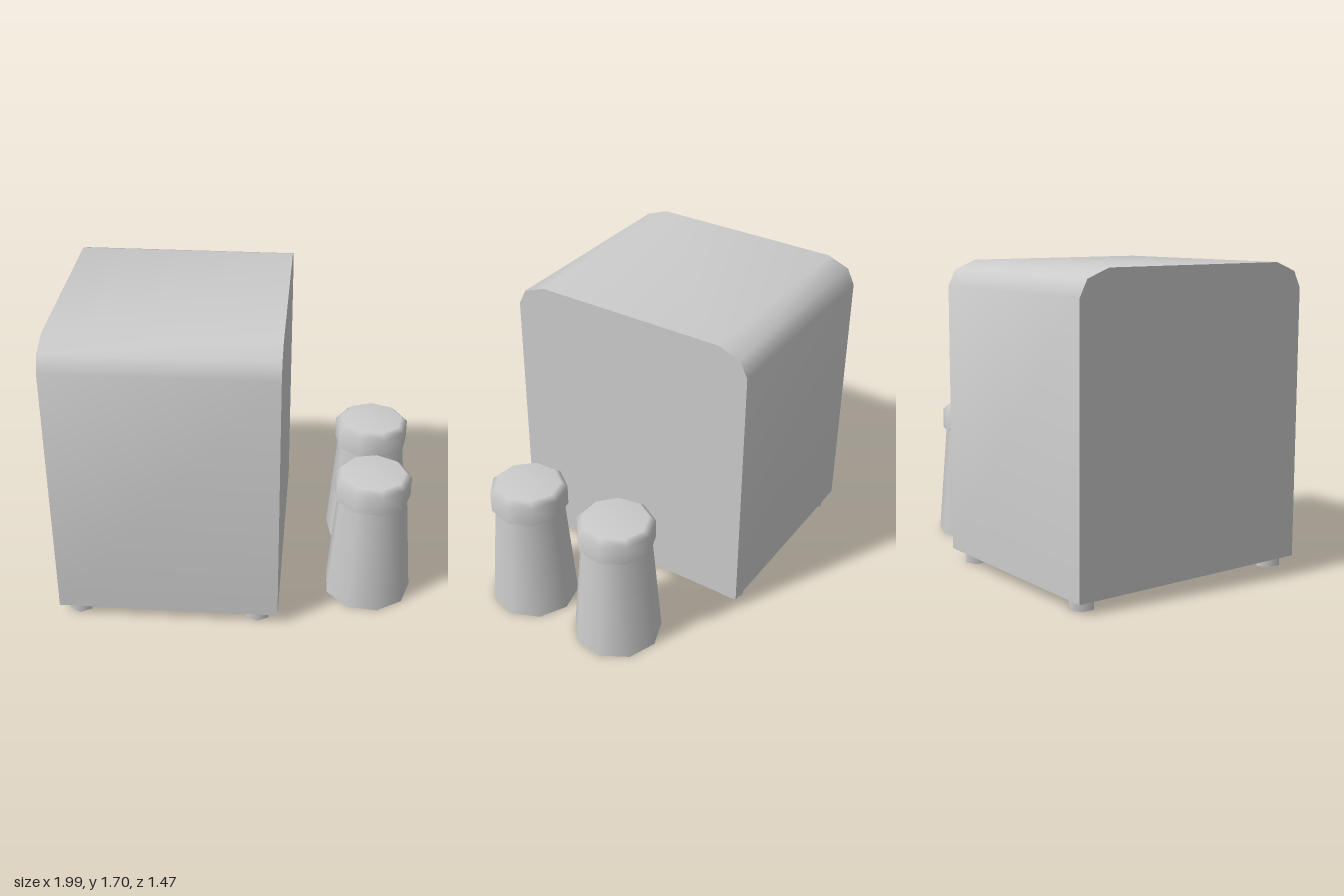
import * as THREE from 'three';
import { toCreasedNormals } from 'three/addons/utils/BufferGeometryUtils.js';

const material = new THREE.MeshStandardMaterial({ color: 0xcccccc });
const openMaterial = new THREE.MeshStandardMaterial({ color: 0xcccccc, side: THREE.DoubleSide });

function part(name, geometry, parent, mat = material) {
  const mesh = new THREE.Mesh(geometry, mat);
  mesh.name = name;
  parent.add(mesh);
  return mesh;
}

// Nine-sided turned surface from [radius, height] pairs, listed bottom up
function turned(points) {
  return new THREE.LatheGeometry(points.map(([r, y]) => new THREE.Vector2(r, y)), 9);
}

function createShaker(name, x, z, turn) {
  const shaker = new THREE.Group();
  shaker.name = name;
  part('shakerBase', turned([[0, 0], [0.25, 0]]), shaker);
  part('shakerBody', turned([[0.25, 0], [0.197, 0.64]]), shaker);
  part('lidLedge', turned([[0.19, 0.64], [0.217, 0.64]]), shaker);
  part('lid', turned([[0.217, 0.64], [0.217, 0.755], [0.182, 0.785], [0, 0.785]]), shaker);
  shaker.position.set(x, 0, z);
  shaker.rotation.y = THREE.MathUtils.degToRad(turn);
  return shaker;
}

export function createModel() {
  const model = new THREE.Group();
  model.name = 'napkinDispenserSet';

  // Dispenser case: bevelled-top outline extruded across the width
  const outline = new THREE.Shape([
    [-0.735, 0.06], [0.735, 0.06], [0.735, 1.56], [0.69, 1.65],
    [0.56, 1.7], [-0.56, 1.7], [-0.69, 1.65], [-0.735, 1.56],
  ].map(([z, y]) => new THREE.Vector2(z, y)));
  const caseGeometry = new THREE.ExtrudeGeometry(outline, { depth: 1.24, bevelEnabled: false });
  caseGeometry.rotateY(Math.PI / 2).translate(-1, 0, 0);
  part('dispenserCase', toCreasedNormals(caseGeometry, 0.8), model);

  // Four hollow hexagonal feet
  for (const x of [-0.89, 0.125]) {
    for (const z of [-0.647, 0.647]) {
      const foot = part('foot', new THREE.CylinderGeometry(0.072, 0.072, 0.06, 6, 1, true), model, openMaterial);
      foot.position.set(x, 0.03, z);
    }
  }

  // Pair of shakers beside the case
  model.add(createShaker('frontShaker', 0.745, 0.333, 173));
  model.add(createShaker('rearShaker', 0.745, -0.257, 180));
  return model;
}
